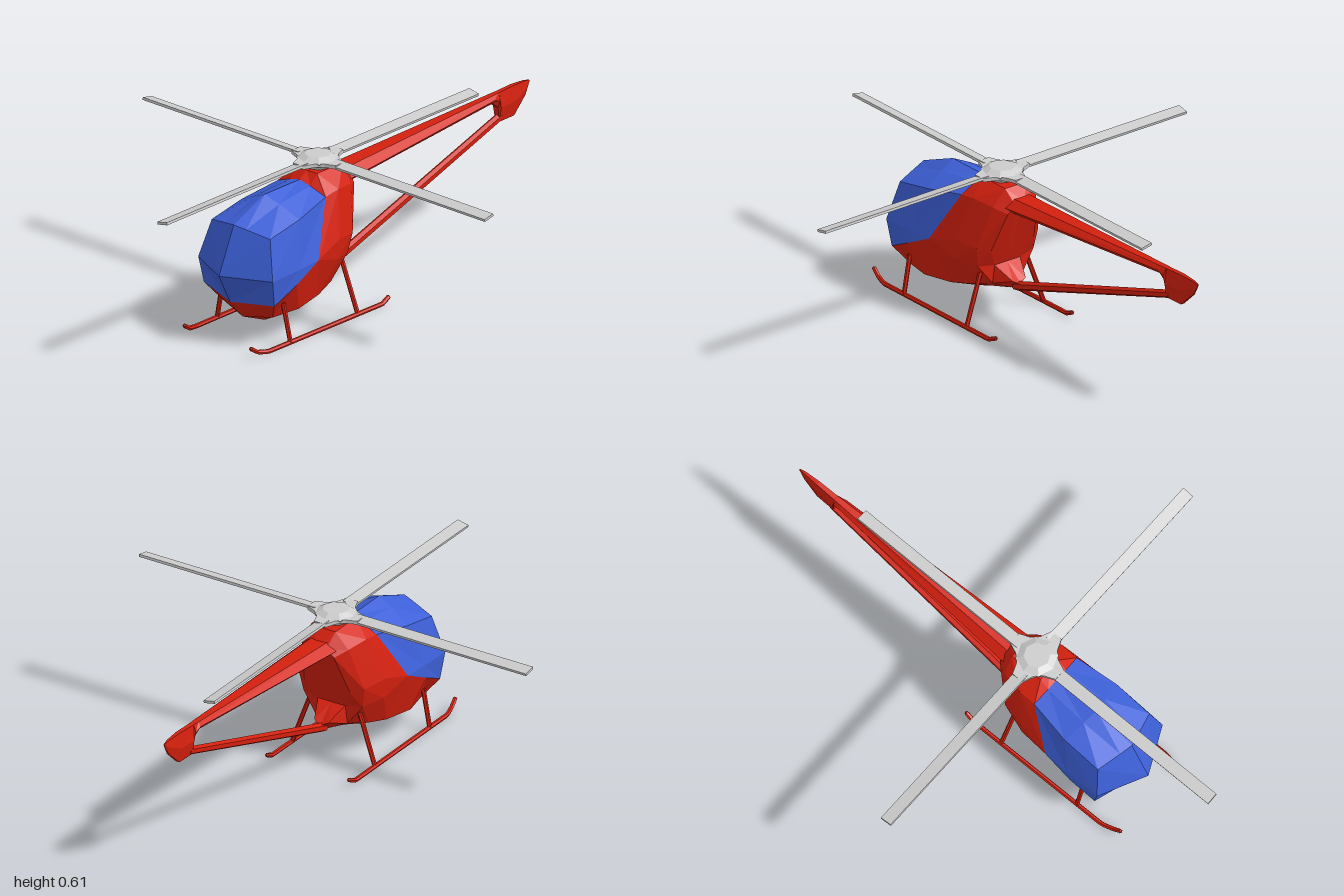
import * as THREE from 'three';

const mat = (color) => new THREE.MeshStandardMaterial({ color, flatShading: true });
const red = mat(0xd4200e), blue = mat(0x3d60d8), grey = mat(0xcccccc);
const V = (p) => new THREE.Vector3(...p);

function mesh(name, geometry, material, parent) {
  const m = new THREE.Mesh(geometry, material);
  m.name = name;
  parent.add(m);
  return m;
}

// Flat-faced skin over a grid of stations (nose to tail), each a list of points.
// wanted(i, j) picks cells; mirrored adds the other half across x = 0.
function skin(stations, { wanted = () => true, mirrored = false, closed = false } = {}) {
  const pos = [];
  const tri = (a, b, c) => {
    const area = V(b).sub(V(a)).cross(V(c).sub(V(a))).length();
    if (area < 1e-7) return;
    pos.push(...a, ...b, ...c);
    if (mirrored) for (const p of [a, c, b]) pos.push(-p[0], p[1], p[2]);
  };
  for (let i = 0; i < stations.length - 1; i++) {
    const s = stations[i], t = stations[i + 1], n = s.length;
    for (let j = 0; j < (closed ? n : n - 1); j++) {
      if (!wanted(i, j)) continue;
      const k = (j + 1) % n;
      tri(s[j], t[j], t[k]);
      tri(s[j], t[k], s[k]);
    }
  }
  const g = new THREE.BufferGeometry();
  g.setAttribute('position', new THREE.Float32BufferAttribute(pos, 3));
  g.computeVertexNormals();
  return g;
}

// Straight rod between two points
function rod(name, a, b, r1, r2, sides, material, parent) {
  const A = V(a), B = V(b), d = B.clone().sub(A);
  const m = mesh(name, new THREE.CylinderGeometry(r2, r1, d.length(), sides), material, parent);
  m.position.copy(A).add(B).multiplyScalar(0.5);
  m.quaternion.setFromUnitVectors(new THREE.Vector3(0, 1, 0), d.normalize());
  return m;
}

function addCabin(parent) {
  // Half stations: keel, chine, sill, waist, shoulder, roof edge, roof centre
  const nose = [[0, .08, .56], [0, .11, .59], [0, .16, .63], [0, .28, .69], [0, .46, .61], [0, .46, .61], [0, .46, .61]];
  const rest = [
    [[0, .08, .56], [.12, .1, .53], [.175, .175, .58], [.185, .28, .6], [.145, .43, .57], [.05, .45, .597], [0, .46, .61]],
    [[0, .03, .44], [.15, .11, .42], [.187, .23, .47], [.187, .285, .46], [.145, .46, .41], [.06, .503, .428], [0, .53, .44]],
    [[0, .07, .29], [.13, .12, .29], [.185, .29, .35], [.185, .29, .35], [.12, .49, .24], [.05, .517, .247], [0, .53, .25]],
    [[0, .1, .2], [.11, .14, .2], [.165, .25, .22], [.17, .33, .22], [.12, .5, .17], [.05, .555, .21], [0, .555, .21]],
    [[0, .13, .1], [.07, .16, .12], [.13, .24, .13], [.145, .32, .12], [.1, .49, .08], [.05, .555, .07], [0, .555, .07]],
    [[0, .165, .04], [.03, .18, .05], [.06, .23, .12], [.1, .31, .09], [.07, .47, .03], [.04, .5, .02], [0, .51, .02]],
  ];
  const back = Array(7).fill([0, .23, .12]);
  const stations = [nose, ...rest, back];
  const isGlass = (i, j) => i < 3 && j >= 2;
  mesh('canopy', skin(stations, { wanted: isGlass, mirrored: true }), blue, parent);
  mesh('fuselage', skin(stations, { wanted: (i, j) => !isGlass(i, j), mirrored: true }), red, parent);
}

function addTail(parent) {
  // z, bottom, top, half width: boom, then fin
  const sections = [
    [.05, .46, .52, .07], [-.79, .515, .545, .023], [-.82, .49, .546, .021], [-.828, .43, .546, .02],
    [-.91, .43, .55, .017], [-.975, .49, .547, .01], [-1, .532, .542, .003],
  ].map(([z, b, t, w]) => {
    const m = (b + t) / 2;
    return [[w / 2, b, z], [w, m, z], [w / 2, t, z], [-w / 2, t, z], [-w, m, z], [-w / 2, b, z]];
  });
  sections.push(Array(6).fill([0, .537, -1]));
  mesh('tailBoom', skin(sections, { closed: true }), red, parent);
  rod('tailStrut', [0, .148, .07], [0, .445, -.84], .018, .016, 6, red, parent);
}

function addLandingGear(parent) {
  for (const s of [1, -1]) {
    const side = new THREE.Group();
    side.name = s > 0 ? 'leftSkid' : 'rightSkid';
    parent.add(side);
    const path = new THREE.CurvePath();
    const pts = [[.165, .038, .695], [.17, .018, .665], [.18, .009, .62], [.183, .009, .0], [.18, .024, -.035]]
      .map(([x, y, z]) => new THREE.Vector3(s * x, y, z));
    for (let i = 0; i < pts.length - 1; i++) path.add(new THREE.LineCurve3(pts[i], pts[i + 1]));
    mesh('skidTube', new THREE.TubeGeometry(path, 40, .009, 6), red, side);
    for (const end of [pts[0], pts[4]]) {
      mesh('skidTip', new THREE.IcosahedronGeometry(.009, 0), red, side).position.copy(end);
    }
    rod('frontLeg', [s * .182, .009, .5], [s * .15, .16, .505], .009, .009, 6, red, side);
    rod('rearLeg', [s * .182, .009, .133], [s * .1, .235, .142], .009, .009, 6, red, side);
  }
}

function addRotor(parent) {
  const rotor = new THREE.Group();
  rotor.name = 'mainRotor';
  rotor.position.set(0, .582, .15);
  parent.add(rotor);
  // Hub: shallow cap over a tapering underside
  mesh('hubCap', new THREE.CylinderGeometry(.05, .08, .016, 8), grey, rotor).position.y = .016;
  mesh('hubBase', new THREE.CylinderGeometry(.08, .045, .036, 8), grey, rotor).position.y = -.01;
  for (let i = 0; i < 4; i++) {
    const arm = new THREE.Group();
    arm.name = 'rotorArm';
    arm.rotation.y = i * Math.PI / 2;
    rotor.add(arm);
    // Flared blade root
    const root = new THREE.Shape([[.03, -.07], [.07, -.04], [.11, -.024], [.11, .024], [.07, .04], [.03, .07]]
      .map(([x, y]) => new THREE.Vector2(x, y)));
    const g = new THREE.ExtrudeGeometry(root, { depth: .014, bevelEnabled: false });
    g.rotateX(-Math.PI / 2).translate(0, -.004, 0);
    mesh('bladeRoot', g, grey, arm);
    // Slightly pitched blade
    const blade = mesh('blade', new THREE.BoxGeometry(.77, .01, .048), grey, arm);
    blade.position.set(.465, .003, 0);
    blade.rotation.x = .2;
  }
}

export function createModel() {
  const model = new THREE.Group();
  model.name = 'helicopter';
  addCabin(model);
  addTail(model);
  addLandingGear(model);
  addRotor(model);
  return model;
}
